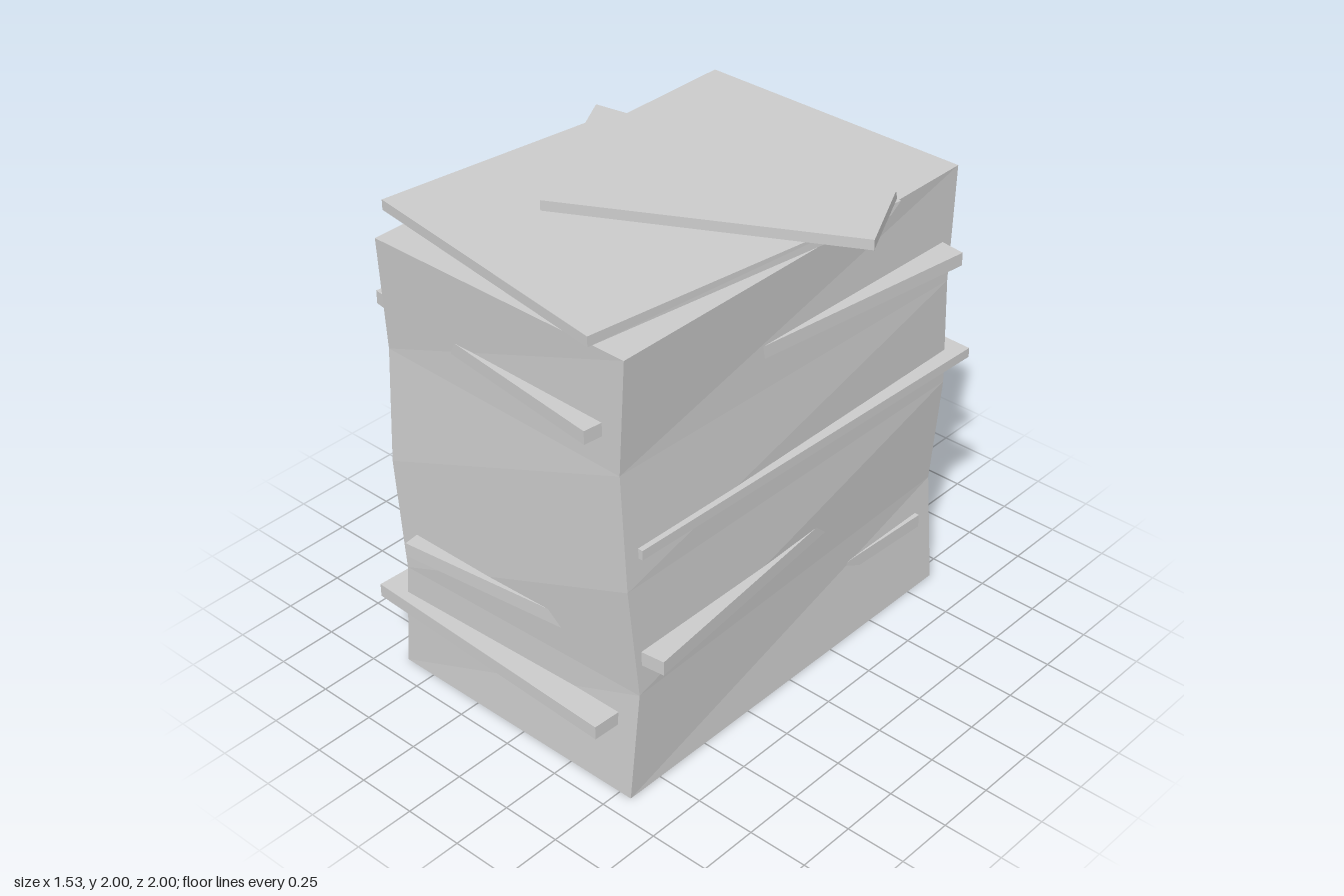
import * as THREE from 'three';

const material = new THREE.MeshStandardMaterial({ color: 0xcccccc, flatShading: true });
const WIDTH = 1.2, DEPTH = 1.81, HEIGHT = 1.91;

function addMesh(group, name, geometry) {
  const mesh = new THREE.Mesh(geometry, material);
  mesh.name = name;
  group.add(mesh);
  return mesh;
}

// Four-sided slab; corners [x, z] run front left, front right, back right, back left
function slab(bottom, top, y0, y1) {
  const points = [
    ...bottom.map(([x, z]) => [x, y0, z]),
    ...top.map(([x, z]) => [x, y1, z]),
  ];
  const index = [4, 5, 6, 4, 6, 7, 0, 2, 1, 0, 3, 2];
  for (let i = 0; i < 4; i++) {
    const j = (i + 1) % 4;
    index.push(i, j, j + 4, i, j + 4, i + 4);
  }
  const geometry = new THREE.BufferGeometry();
  geometry.setAttribute('position', new THREE.Float32BufferAttribute(points.flat(), 3));
  geometry.setIndex(index);
  const flat = geometry.toNonIndexed();
  flat.computeVertexNormals();
  return flat;
}

// Tall stack whose inner levels are slightly shrunk and twisted
function stackGeometry() {
  const geometry = new THREE.BoxGeometry(WIDTH, HEIGHT, DEPTH, 1, 4, 1);
  const twists = [0, 0.032, 0, -0.023, 0];
  const pos = geometry.attributes.position;
  const p = new THREE.Vector3();
  const up = new THREE.Vector3(0, 1, 0);
  for (let i = 0; i < pos.count; i++) {
    p.fromBufferAttribute(pos, i);
    const level = Math.round((p.y / HEIGHT + 0.5) * 4);
    if (twists[level]) {
      p.x *= 0.98;
      p.z *= 0.98;
      p.applyAxisAngle(up, twists[level]);
    }
    pos.setXYZ(i, p.x, p.y, p.z);
  }
  geometry.computeVertexNormals();
  return geometry;
}

export function createModel() {
  const group = new THREE.Group();
  group.name = 'paperStack';

  addMesh(group, 'stack', stackGeometry()).position.set(-0.045, HEIGHT / 2, 0.005);

  // Bundles sticking out of the stack: bottom, top, x, z, turn
  const bundles = [
    [0.295, 0.352, -0.0925, 0.07, -0.042],
    [0.605, 0.665, -0.033, 0.01, 0.11],
    [1.067, 1.108, -0.005, -0.077, -0.03],
    [1.56, 1.615, -0.047, 0.008, -0.127],
  ];
  bundles.forEach(([y0, y1, x, z, turn], i) => {
    const mesh = addMesh(group, `looseBundle${i + 1}`, new THREE.BoxGeometry(WIDTH, y1 - y0, DEPTH));
    mesh.position.set(x, (y0 + y1) / 2, z);
    mesh.rotation.y = turn;
  });

  // Top sheet, bevelled along its crease
  const front = [[-0.77, 0.76], [0.415, 0.935]];
  addMesh(group, 'topSheet', slab(
    [...front, [0.61, -0.425], [-0.635, -0.205]],
    [...front, [0.615, -0.475], [-0.63, -0.255]],
    1.915, 1.957));

  // Back part of the sheet, folded over forwards
  const tip = [[-0.29, 0.44], [0.765, -0.13]];
  addMesh(group, 'foldedFlap', slab(
    [...tip, [0.595, -0.477], [-0.635, -0.26]],
    [...tip, [0.605, -0.455], [-0.66, -0.235]],
    1.958, 2.0));

  return group;
}
